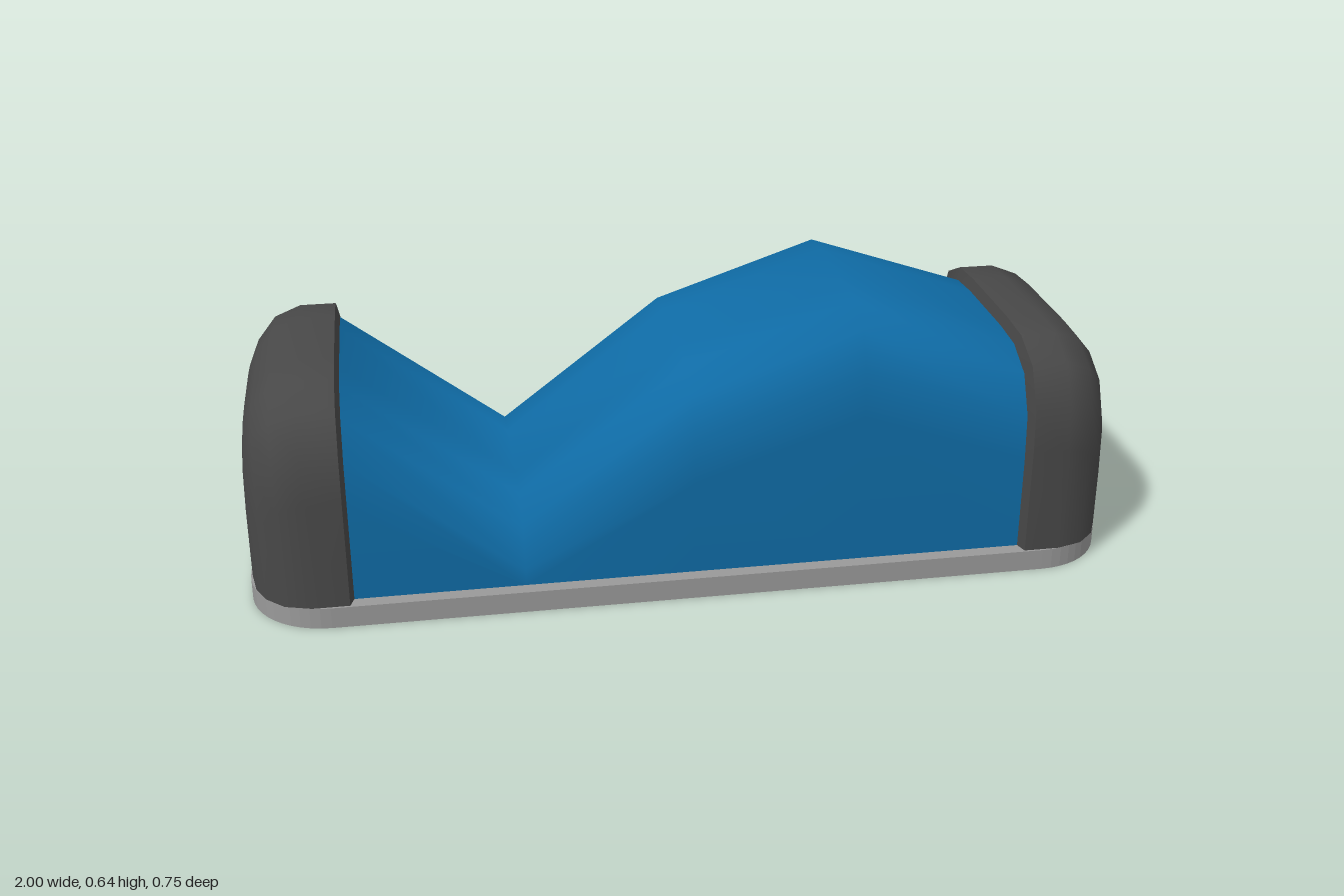
import * as THREE from 'three';

const BASE_TOP = 0.05;

function material(name, color) {
  const m = new THREE.MeshStandardMaterial({ color, side: THREE.DoubleSide });
  m.name = name;
  return m;
}

// half of the arch profile: [share of half width, drop below the crown]
const ARCH = [[1, 9], [1, 0.24], [0.98, 0.135], [0.855, 0.048], [0.62, 0.007], [0.34, 0]];
const PROFILE = [...ARCH, ...ARCH.slice().reverse().map(([z, d]) => [-z, d])];

// skin a row of arches, each given as [x, half width, crown height]
function loftArches(sections) {
  const positions = [];
  const index = [];
  const n = PROFILE.length;
  sections.forEach(([x, w, h], i) => {
    for (const [z, drop] of PROFILE) positions.push(x, Math.max(BASE_TOP, h - drop), z * w);
    if (i === 0) return;
    for (let j = 0; j < n - 1; j++) {
      const a = (i - 1) * n + j;
      const b = i * n + j;
      index.push(a, b, a + 1, b, b + 1, a + 1);
    }
  });
  const geo = new THREE.BufferGeometry();
  geo.setAttribute('position', new THREE.Float32BufferAttribute(positions, 3));
  geo.setIndex(index);
  geo.computeVertexNormals();
  return geo;
}

function roundedRect(target, hx, hy, r) {
  target.moveTo(hx, -hy + r);
  target.lineTo(hx, hy - r);
  target.absarc(hx - r, hy - r, r, 0, Math.PI / 2);
  target.absarc(-hx + r, hy - r, r, Math.PI / 2, Math.PI);
  target.absarc(-hx + r, -hy + r, r, Math.PI, Math.PI * 1.5);
  target.absarc(hx - r, -hy + r, r, Math.PI * 1.5, Math.PI * 2);
  return target;
}

export function createModel() {
  const model = new THREE.Group();
  model.name = 'wavyCover';
  const blue = material('blue', 0x0f6ba5);
  const charcoal = material('charcoal', 0x484848);
  const grey = material('light grey', 0x999999);

  const add = (name, geometry, mat) => {
    const mesh = new THREE.Mesh(geometry, mat);
    mesh.name = name;
    model.add(mesh);
    return mesh;
  };

  // open rim around the foot
  const outline = roundedRect(new THREE.Shape(), 1, 0.375, 0.18);
  outline.holes.push(roundedRect(new THREE.Path(), 0.966, 0.341, 0.146));
  const rim = new THREE.ExtrudeGeometry(outline, { depth: BASE_TOP, bevelEnabled: false, curveSegments: 6 });
  rim.rotateX(-Math.PI / 2);
  add('baseRim', rim, grey);

  // wavy hollow body with one valley and one hump
  const crowns = [0.515, 0.222, 0.515, 0.645, 0.515];
  add('wavyBody', loftArches(crowns.map((h, i) => [-0.77 + i * 0.385, 0.342, h])), blue);

  // rounded end caps; the repeated section keeps the inner lip sharp
  const cap = loftArches([
    [0.768, 0.342, 0.515], [0.777, 0.37, 0.543], [0.777, 0.37, 0.543],
    [0.86, 0.37, 0.543], [0.92, 0.352, 0.522], [0.962, 0.312, 0.475],
    [0.985, 0.265, 0.425], [0.996, 0.2, 0.35], [0.996, 0, BASE_TOP],
  ]);
  add('leftEndCap', cap, charcoal);
  add('rightEndCap', cap, charcoal).rotation.y = Math.PI;

  return model;
}
